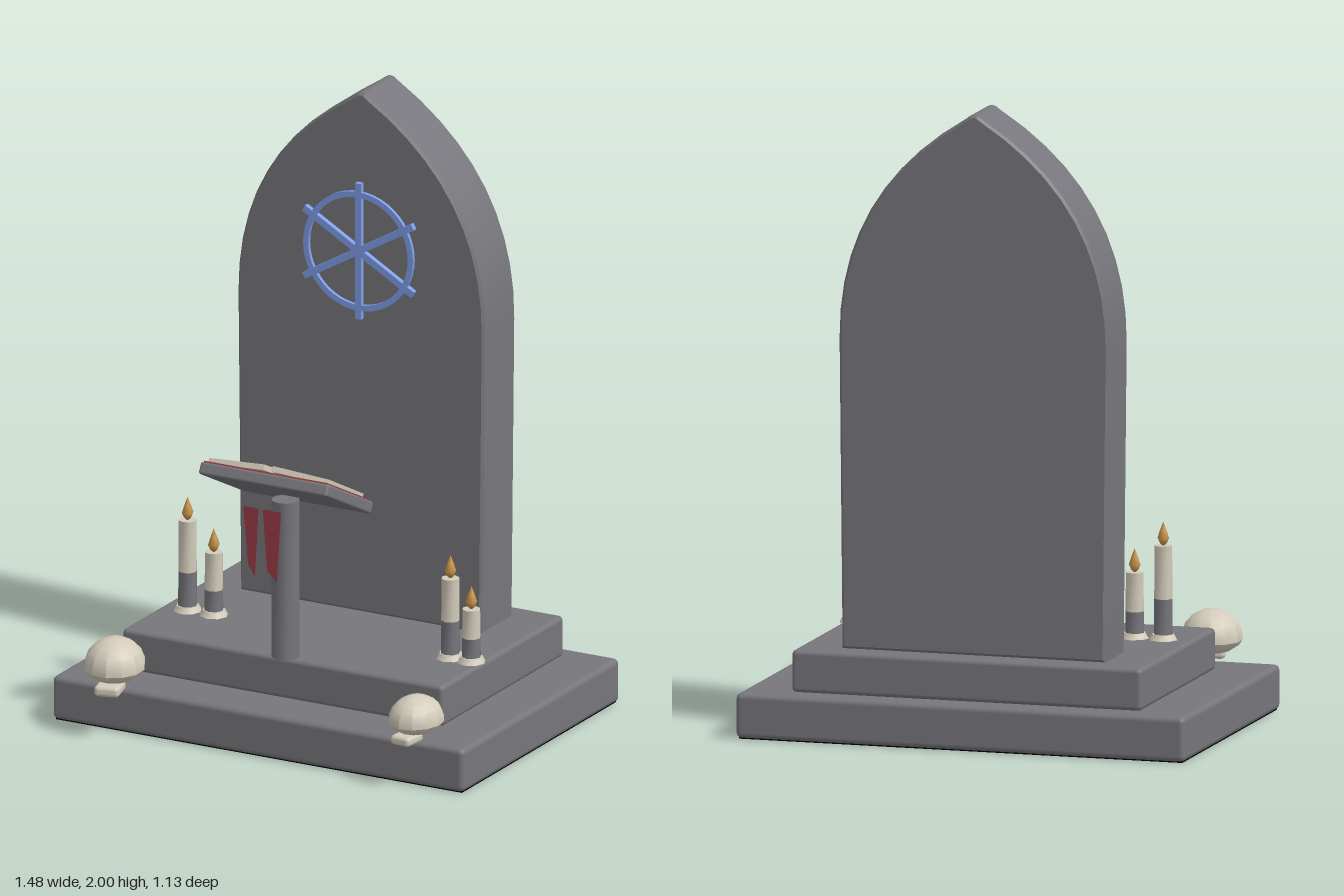
import * as THREE from 'three';
import { toCreasedNormals } from 'three/addons/utils/BufferGeometryUtils.js';
import { RoundedBoxGeometry } from 'three/addons/geometries/RoundedBoxGeometry.js';

const material = (name, color, side = THREE.FrontSide) => {
  const m = new THREE.MeshStandardMaterial({ color, side });
  m.name = name;
  return m;
};

export function createModel() {
  const stone = material('stone', 0x77767c);
  const black = material('black underside', 0x000000);
  const cream = material('wax and bone', 0xd3ccbb);
  const red = material('red cloth', 0x9c3d46, THREE.DoubleSide);
  const blue = material('blue inlay', 0x86a8f4);
  const gold = material('flame', 0xc8954a);

  const root = new THREE.Group();
  root.name = 'shrine';

  const add = (parent, name, geometry, mat, x = 0, y = 0, z = 0) => {
    const mesh = new THREE.Mesh(geometry, mat);
    mesh.name = name;
    mesh.position.set(x, y, z);
    parent.add(mesh);
    return mesh;
  };
  const group = (name, x = 0, y = 0, z = 0) => {
    const g = new THREE.Group();
    g.name = name;
    g.position.set(x, y, z);
    root.add(g);
    return g;
  };

  // Stepped base with a black underside
  add(root, 'baseSlab', new RoundedBoxGeometry(1.475, 0.143, 1.015, 2, 0.018), stone, 0, 0.0735, -0.056);
  add(root, 'baseUnderside', new THREE.BoxGeometry(1.455, 0.008, 0.995), black, 0, 0.004, -0.056);
  add(root, 'upperStep', new RoundedBoxGeometry(1.15, 0.135, 0.785, 2, 0.015), stone, 0, 0.2125, -0.102);

  // Pointed-arch standing stone with a softened tip
  const arch = new THREE.Shape();
  arch.moveTo(-0.432, 0.28);
  arch.lineTo(0.432, 0.28);
  arch.lineTo(0.442, 1.27);
  arch.quadraticCurveTo(0.445, 1.735, 0.025, 1.988);
  arch.quadraticCurveTo(0, 2.012, -0.025, 1.988);
  arch.quadraticCurveTo(-0.445, 1.735, -0.442, 1.27);
  const archGeometry = new THREE.ExtrudeGeometry(arch, {
    depth: 0.188, bevelEnabled: true, bevelThickness: 0.008, bevelSize: 0.008,
    bevelOffset: -0.008, bevelSegments: 1, curveSegments: 10,
  });
  add(root, 'standingStone', toCreasedNormals(archGeometry, 0.5), stone, 0, 0, -0.411);

  // Wheel inlay: a ring and three full-width bars
  const wheel = group('wheelInlay', 0, 1.48, -0.21);
  const ring = new THREE.Shape().absarc(0, 0, 0.197, 0, Math.PI * 2);
  ring.holes.push(new THREE.Path().absarc(0, 0, 0.178, 0, Math.PI * 2, true));
  const ringGeometry = new THREE.ExtrudeGeometry(ring, { depth: 0.012, bevelEnabled: false, curveSegments: 24 });
  add(wheel, 'wheelRing', ringGeometry, blue);
  for (let i = 0; i < 3; i++) {
    add(wheel, 'wheelBar', new THREE.BoxGeometry(0.022, 0.45, 0.018), blue, 0, 0, 0.004).rotation.z = i * Math.PI / 3;
  }

  // Lectern column and tilted top
  const column = new THREE.CylinderGeometry(0.045, 0.045, 0.52, 10);
  add(root, 'lecternColumn', toCreasedNormals(column, 0.9), stone, 0, 0.54, 0.27);
  const lectern = group('lecternTop', 0, 0.837, 0.267);
  lectern.rotation.x = -0.465;
  add(lectern, 'lecternBoard', new RoundedBoxGeometry(0.46, 0.04, 0.327, 2, 0.008), stone);

  // Open book
  add(lectern, 'bookCover', new THREE.BoxGeometry(0.44, 0.005, 0.306), red, 0, 0.0215, 0.006);
  for (const s of [-1, 1]) {
    const pages = add(lectern, 'bookPages', new THREE.BoxGeometry(0.2, 0.018, 0.274), cream, s * 0.109, 0.033, 0.008);
    pages.rotation.set(0, s * 0.04, -s * 0.05);
  }

  // Two hanging bookmark ribbons
  const ribbons = [
    [[-0.085, 0.8], [-0.068, 0.61], [-0.043, 0.57], [-0.03, 0.8]],
    [[-0.015, 0.8], [0, 0.6], [0.035, 0.565], [0.05, 0.8]],
  ];
  for (const points of ribbons) {
    const shape = new THREE.Shape(points.map(([x, y]) => new THREE.Vector2(x, y)));
    add(root, 'ribbon', new THREE.ShapeGeometry(shape), red, 0, 0, 0.39);
  }

  // Candles: [x, top of wax, height of the dark sleeve]
  const flameProfile = [[0, 0], [0.012, 0.012], [0.019, 0.028], [0.011, 0.052], [0, 0.08]]
    .map(([r, y]) => new THREE.Vector2(r, y));
  const candles = [[-0.482, 0.58, 0.115], [-0.388, 0.49, 0.07], [0.46, 0.545, 0.11], [0.535, 0.455, 0.065]];
  for (const [x, top, sleeve] of candles) {
    const candle = group('candle', x, 0.28, 0.034);
    const wax = top - 0.28;
    const tube = (r0, r1, h) => toCreasedNormals(new THREE.CylinderGeometry(r0, r1, h, 8), 0.9);
    add(candle, 'waxPool', tube(0.036, 0.046, 0.018), cream, 0, 0.009, 0);
    add(candle, 'candleSleeve', tube(0.03, 0.031, sleeve), stone, 0, 0.016 + sleeve / 2, 0);
    const waxHeight = wax - sleeve - 0.016;
    add(candle, 'candleWax', tube(0.029, 0.03, waxHeight), cream, 0, wax - waxHeight / 2, 0);
    add(candle, 'candleFlame', new THREE.LatheGeometry(flameProfile, 8), gold, 0, wax - 0.004, 0);
  }

  // Skulls: a domed cranium flattened below, with a small jaw
  const makeSkull = (x, z, scale, turn) => {
    const skull = group('skull', x, 0.145, z);
    skull.scale.setScalar(scale);
    skull.rotation.y = turn;
    const dome = new THREE.SphereGeometry(1, 12, 9);
    const p = dome.attributes.position;
    for (let i = 0; i < p.count; i++) {
      const y = p.getY(i);
      p.setXYZ(i, p.getX(i) * 0.097, y * (y > 0 ? 0.09 : 0.052), p.getZ(i) * 0.111);
    }
    add(skull, 'cranium', toCreasedNormals(dome, 0.45), cream, 0, 0.075, 0);
    add(skull, 'jaw', new RoundedBoxGeometry(0.082, 0.036, 0.1, 2, 0.014), cream, 0, 0.018, 0.06);
  };
  makeSkull(-0.512, 0.45, 1, 0.25);
  makeSkull(0.552, 0.42, 0.87, -0.1);

  return root;
}
